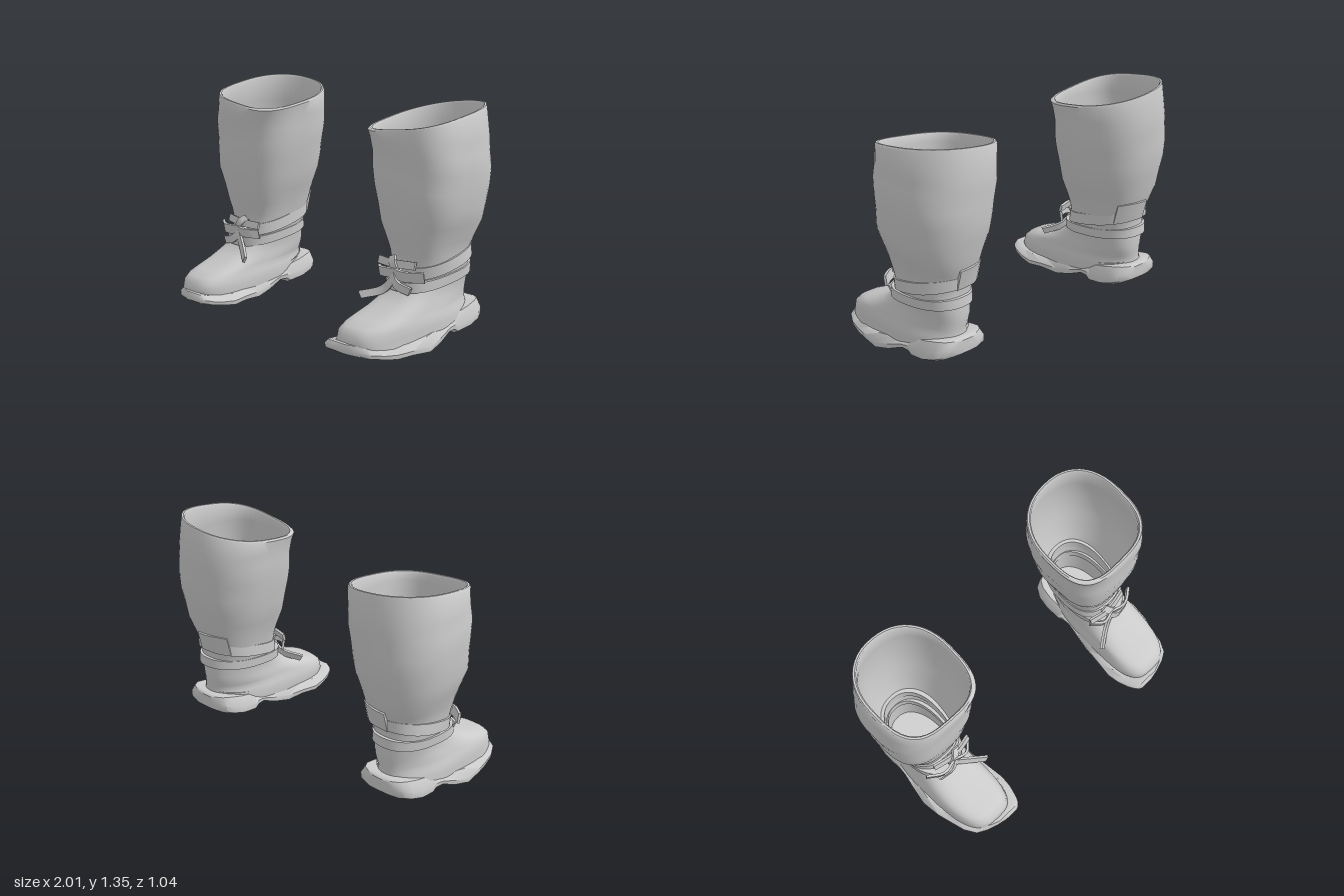
import * as THREE from 'three';
import { toCreasedNormals } from 'three/addons/utils/BufferGeometryUtils.js';

const V = (x, y, z) => new THREE.Vector3(x, y, z);
const SEG = 48;

// Skin a surface over rows of points; every row is a closed loop
function loft(rows, { wrap = false, capStart = false, capEnd = false } = {}) {
  const collapse = (row) => {
    const c = row.reduce((s, p) => s.add(p), V(0, 0, 0)).divideScalar(row.length);
    return row.map(() => c);
  };
  const all = [...rows];
  if (capStart) all.unshift(collapse(rows[0]));
  if (capEnd) all.push(collapse(rows[rows.length - 1]));
  const n = rows[0].length, m = all.length, index = [];
  for (let i = 0; i < (wrap ? m : m - 1); i++) {
    for (let j = 0; j < n; j++) {
      const k = ((i + 1) % m) * n, j2 = (j + 1) % n;
      const a = i * n + j, b = i * n + j2, c = k + j2, d = k + j;
      if (capStart && i === 0) index.push(b, c, d);
      else if (capEnd && i === m - 2) index.push(a, b, d);
      else index.push(a, b, d, b, c, d);
    }
  }
  const g = new THREE.BufferGeometry().setFromPoints(all.flat());
  g.setIndex(index);
  return g;
}

// Rounded outline with a squarer front; its plane may tilt front to back and sideways
function ring([yF, yB, zF, zB, xL, xR, nF = 2.6], inset = 0, tiltX = 0, lift = 0) {
  const hx = (xR - xL) / 2 - inset, hz = (zF - zB) / 2 - inset;
  const pts = [];
  for (let j = 0; j < SEG; j++) {
    const t = (j / SEG) * Math.PI * 2, s = Math.sin(t), c = Math.cos(t);
    const e = 2 / (c > 0 ? nF : 2.25);
    const u = Math.sign(s) * Math.abs(s) ** e, w = Math.sign(c) * Math.abs(c) ** e;
    const z = (zF + zB) / 2 + w * hz;
    const y = yB + (yF - yB) * (w + 1) / 2 + tiltX * u + lift;
    // soft leather wrinkles, and a toe that leans inwards
    const r = inset ? 0 : 0.004 * Math.sin(y * 23 + t * 2);
    pts.push(V((xL + xR) / 2 + u * (hx + r) - 0.05 * Math.max(0, z - 0.1), y, z + w * r));
  }
  return pts;
}

// Flat strip of leather along a curve; w is its half width vector
function ribbon(points, w, thick = 0.008) {
  const curve = new THREE.CatmullRomCurve3(points.map((p) => V(...p)));
  const W = V(...w), rows = [];
  for (let i = 0; i <= 8; i++) {
    const p = curve.getPoint(i / 8);
    const N = curve.getTangent(i / 8).cross(W).setLength(thick);
    rows.push([[1, 1], [-1, 1], [-1, -1], [1, -1]].map(([a, b]) =>
      p.clone().addScaledVector(W, a).addScaledVector(N, b)));
  }
  return loft(rows, { capStart: true, capEnd: true });
}

// Band wrapped round the ankle
function strap(spec, height) {
  return loft([ring(spec, 0.035), ring(spec), ring(spec, 0, 0, height), ring(spec, 0.035, 0, height)], { wrap: true });
}

function upper() {
  // yFront, yBack, zFront, zBack, xInner, xOuter
  const foot = [
    [0.04, 0.15, 0.465, -0.41, 0.53, 0.91], [0.1, 0.19, 0.48, -0.415, 0.53, 0.905],
    [0.15, 0.22, 0.475, -0.41, 0.54, 0.9], [0.183, 0.24, 0.44, -0.41, 0.55, 0.89],
    [0.21, 0.26, 0.36, -0.41, 0.55, 0.885], [0.24, 0.28, 0.27, -0.41, 0.55, 0.88],
    [0.28, 0.3, 0.18, -0.41, 0.55, 0.875], [0.33, 0.33, 0.09, -0.41, 0.55, 0.87],
  ].map((r) => [...r, 3.3]);
  // y, zFront, zBack, xInner, xOuter
  const leg = [
    [0.39, 0.055, -0.41, 0.54, 0.875], [0.46, 0.045, -0.41, 0.53, 0.885],
    [0.53, 0.05, -0.415, 0.51, 0.895], [0.6, 0.065, -0.44, 0.49, 0.92],
    [0.7, 0.09, -0.475, 0.46, 0.955], [0.8, 0.105, -0.495, 0.43, 0.985],
    [0.9, 0.112, -0.512, 0.41, 0.995], [1.0, 0.117, -0.52, 0.395, 1.0],
    [1.1, 0.12, -0.523, 0.385, 0.995], [1.18, 0.125, -0.52, 0.378, 0.985],
  ].map(([y, ...r]) => [y, y, ...r, 3]);
  const rim = [1.235, 1.335, 0.128, -0.512, 0.373, 0.97, 3.1];
  const rows = [...foot, ...leg].map((r) => ring(r));
  // rolled rim, then the lining down to the insole
  rows.push(ring(rim, 0, 0.035), ring(rim, 0.007, 0.035, 0.011),
    ring(rim, 0.018, 0.035, 0.011), ring(rim, 0.025, 0.035));
  [...leg].reverse().forEach((r) => rows.push(ring(r, r[0] > 0.65 ? 0.022 : 0.012)));
  rows.push(ring([0.13, 0.22, 0.1, -0.41, 0.545, 0.87, 3], 0.012));
  return loft(rows, { capEnd: true });
}

function sole() {
  // z, xInner, xOuter, top, bottom
  const sections = [
    [0.52, 0.56, 0.66, 0.085, 0.06], [0.505, 0.54, 0.73, 0.105, 0.05], [0.485, 0.525, 0.79, 0.105, 0.045],
    [0.45, 0.51, 0.85, 0.095, 0.035], [0.38, 0.49, 0.89, 0.085, 0.025], [0.3, 0.482, 0.91, 0.085, 0.01],
    [0.2, 0.495, 0.938, 0.09, 0.02], [0.08, 0.51, 0.952, 0.105, 0.01], [-0.02, 0.525, 0.935, 0.12, 0.035],
    [-0.12, 0.535, 0.915, 0.14, 0.08], [-0.17, 0.53, 0.91, 0.155, 0.078], [-0.2, 0.525, 0.91, 0.165, 0.055],
    [-0.3, 0.52, 0.915, 0.19, 0.068], [-0.38, 0.53, 0.905, 0.21, 0.092], [-0.425, 0.555, 0.88, 0.215, 0.11],
    [-0.448, 0.6, 0.835, 0.213, 0.12], [-0.457, 0.64, 0.79, 0.205, 0.125],
  ];
  return loft(sections.map(([z, l, r, top, bot]) => {
    const h = top - bot, b = Math.min(0.035, (r - l) * 0.15), mid = (l + r) / 2;
    // the welt slopes outwards to a low edge
    return [V(l + b, top, z), V(mid, top, z), V(r - b, top, z), V(r, bot + 0.5 * h, z), V(r - 0.003, bot + 0.15 * h, z),
      V(r - b, bot, z), V(mid, bot, z), V(l + b, bot, z), V(l + 0.003, bot + 0.15 * h, z), V(l, bot + 0.5 * h, z)];
  }), { capStart: true, capEnd: true });
}

function knot() {
  return new THREE.BoxGeometry(0.06, 0.06, 0.05).rotateZ(0.4).translate(0.68, 0.425, 0.085);
}

const PARTS = {
  upper,
  sole,
  upperStrap: () => strap([0.395, 0.51, 0.06, -0.435, 0.51, 0.905], 0.07),
  lowerStrap: () => strap([0.33, 0.395, 0.107, -0.43, 0.53, 0.892], 0.058),
  backTab: () => ribbon([[0.75, 0.57, -0.436], [0.68, 0.575, -0.439], [0.61, 0.575, -0.418], [0.56, 0.565, -0.38]],
    [0, 0.062, -0.016], 0.01),
  knot,
  bowLoopInner: () => ribbon([[0.68, 0.43, 0.1], [0.6, 0.43, 0.12], [0.535, 0.42, 0.06]], [0, 0.028, 0.006]),
  bowLoopOuter: () => ribbon([[0.68, 0.43, 0.1], [0.78, 0.43, 0.12], [0.875, 0.43, 0.06]], [0, 0.03, 0.006]),
  bowTop: () => ribbon([[0.53, 0.475, 0.065], [0.66, 0.48, 0.09], [0.81, 0.485, 0.065]], [0, 0.022, -0.006]),
  bowTip: () => ribbon([[0.7, 0.43, 0.095], [0.67, 0.48, 0.1], [0.64, 0.515, 0.07]], [0.022, 0.01, 0]),
  longTail: () => ribbon([[0.69, 0.41, 0.1], [0.62, 0.325, 0.125], [0.51, 0.285, 0.2]], [-0.012, 0.02, 0]),
  shortTail: () => ribbon([[0.67, 0.42, 0.1], [0.72, 0.37, 0.12], [0.81, 0.345, 0.105]], [0.01, 0.022, 0]),
};

export function createModel() {
  const leather = new THREE.MeshStandardMaterial({ color: 0xcacaca });
  leather.name = 'grey leather';
  const model = new THREE.Group();
  model.name = 'boots';
  for (const side of [1, -1]) {
    const boot = new THREE.Group();
    boot.name = side > 0 ? 'leftBoot' : 'rightBoot';
    for (const [name, build] of Object.entries(PARTS)) {
      const g = build();
      if (side < 0) {
        g.scale(-1, 1, 1);
        g.setIndex(Array.from(g.index.array).reverse());
      }
      const mesh = new THREE.Mesh(toCreasedNormals(g, 0.8), leather);
      mesh.name = name;
      boot.add(mesh);
    }
    model.add(boot);
  }
  return model;
}
